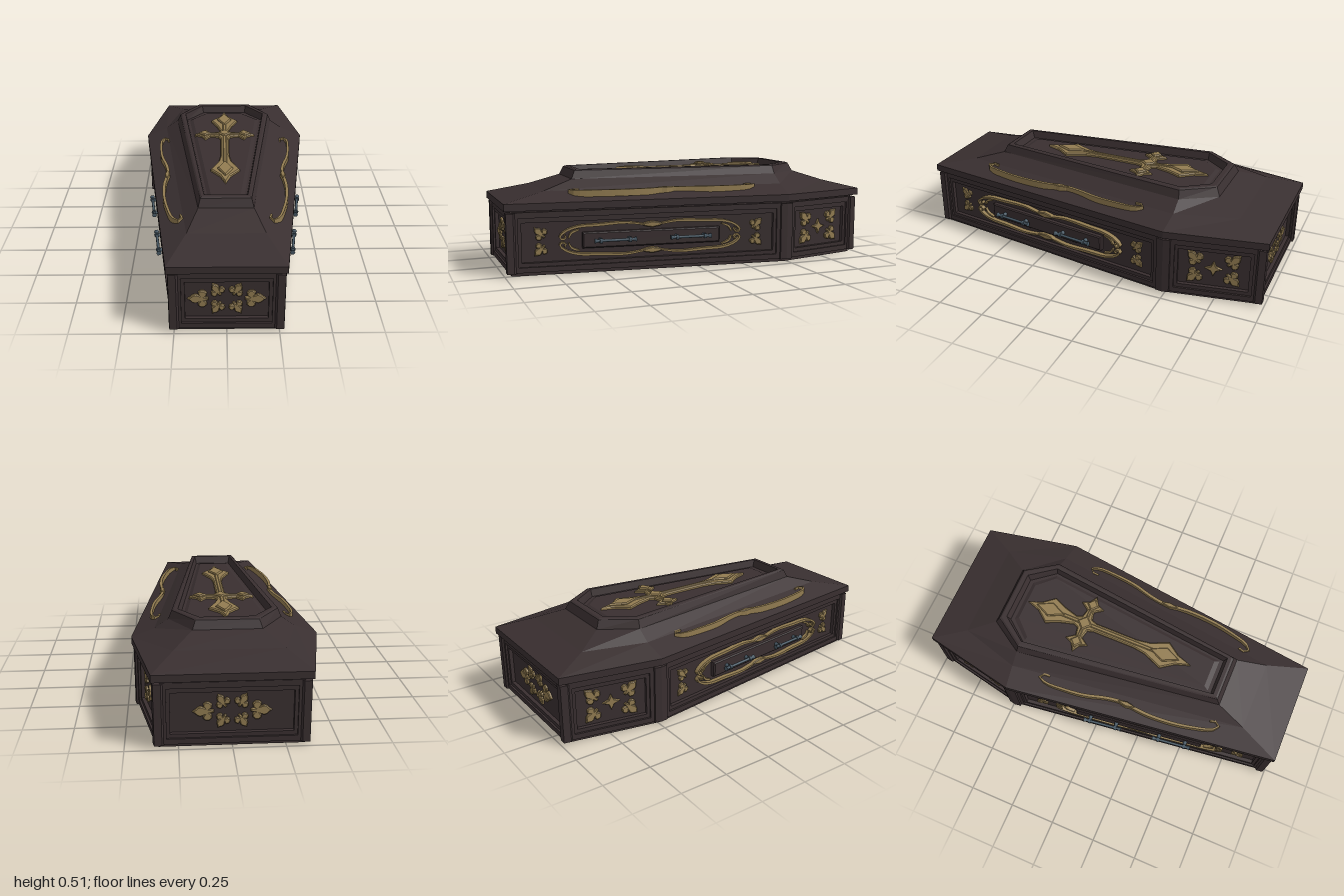
import * as THREE from 'three';

const material = (name, color) => Object.assign(new THREE.MeshStandardMaterial({ color }), { name });

export function createModel() {
  const wood = material('dark wood', 0x392f30);
  const gold = material('old gold', 0x927c51);
  const steel = material('blued steel', 0x485965);
  const root = new THREE.Group();
  root.name = 'coffin';

  const add = (parent, name, geo, mat, x = 0, y = 0, z = 0) => {
    const m = new THREE.Mesh(geo, mat);
    m.name = name;
    m.position.set(x, y, z);
    parent.add(m);
    return m;
  };
  const shapeOf = (pts) => new THREE.Shape(pts.map((p) => new THREE.Vector2(p[0], p[1])));
  const extrude = (shape, depth, bevel = 0) => new THREE.ExtrudeGeometry(shape, {
    depth: depth - bevel, bevelEnabled: bevel > 0, bevelThickness: bevel, bevelSize: bevel,
    bevelOffset: -bevel, bevelSegments: 1, curveSegments: 8,
  });
  // Plan shapes use (x, -z) and are extruded upwards
  const plan = (pts, depth, bevel) => extrude(shapeOf(pts.map(([x, z]) => [x, -z])), depth, bevel).rotateX(-Math.PI / 2);

  // Six-sided plan, with an inset rule
  const ring = (xf, zf, xw, zw, xb, zb) => [[-xf, zf], [xf, zf], [xw, zw], [xb, zb], [-xb, zb], [-xw, zw]];
  const outline = ring(0.28, 1, 0.472, -0.49, 0.37, -1);
  const normal = (a, b) => {
    const l = Math.hypot(b[0] - a[0], b[1] - a[1]);
    return [(a[1] - b[1]) / l, (b[0] - a[0]) / l];
  };
  const inset = (d) => outline.map((v, i) => {
    const p = normal(outline[(i + 5) % 6], v), q = normal(v, outline[(i + 1) % 6]);
    const k = d / (1 + p[0] * q[0] + p[1] * q[1]);
    return [v[0] - k * (p[0] + q[0]), v[1] - k * (p[1] + q[1])];
  });

  // Lofted, faceted solid through stacked rings
  function loft(rings) {
    const pos = [];
    const tri = (...vs) => vs.forEach(([p, y]) => pos.push(p[0], y, p[1]));
    for (let k = 0; k + 1 < rings.length; k++) {
      const [A, ya] = rings[k], [B, yb] = rings[k + 1];
      for (let i = 0; i < 6; i++) {
        const j = (i + 1) % 6;
        tri([A[i], ya], [A[j], ya], [B[j], yb]);
        tri([A[i], ya], [B[j], yb], [B[i], yb]);
      }
    }
    const [A, ya] = rings[0], [B, yb] = rings[rings.length - 1];
    for (let i = 1; i < 5; i++) {
      tri([A[0], ya], [A[i + 1], ya], [A[i], ya]);
      tri([B[0], yb], [B[i], yb], [B[i + 1], yb]);
    }
    const g = new THREE.BufferGeometry();
    g.setAttribute('position', new THREE.Float32BufferAttribute(pos, 3));
    g.computeVertexNormals();
    return g;
  }

  // Tapered ribbon outline along a curve
  function ribbon(pts, width) {
    const curve = new THREE.CatmullRomCurve3(pts.map(([x, y]) => new THREE.Vector3(x, y, 0)));
    const left = [], right = [], n = 36;
    for (let i = 0; i <= n; i++) {
      const p = curve.getPointAt(i / n), t = curve.getTangentAt(i / n);
      const w = width * (0.3 + 0.2 * Math.sin(Math.PI * i / n));
      left.push([p.x - t.y * w, p.y + t.x * w]);
      right.unshift([p.x + t.y * w, p.y - t.x * w]);
    }
    return [...left, ...right];
  }

  // Body
  add(root, 'plinth', plan(inset(0.035), 0.022), wood);
  add(root, 'bodyCore', plan(inset(0.05), 0.3), wood, 0, 0.02);
  add(root, 'neck', plan(inset(0.035), 0.02), wood, 0, 0.318);

  // Lid: rim, slopes, raised frame and sunken panel
  add(root, 'lid', loft([
    [outline, 0.335], [outline, 0.372],
    [ring(0.19, 0.78, 0.355, -0.5, 0.265, -0.82), 0.418],
    [ring(0.137, 0.62, 0.285, -0.5, 0.17, -0.68), 0.467],
    [ring(0.126, 0.6, 0.267, -0.495, 0.155, -0.66), 0.51],
    [ring(0.12, 0.59, 0.255, -0.493, 0.15, -0.65), 0.515],
    [ring(0.108, 0.57, 0.235, -0.49, 0.135, -0.625), 0.515],
    [ring(0.1, 0.555, 0.225, -0.488, 0.128, -0.61), 0.475],
    [ring(0.09, 0.535, 0.21, -0.485, 0.118, -0.59), 0.475],
    [ring(0.075, 0.51, 0.19, -0.48, 0.105, -0.57), 0.485],
  ]), wood);

  // Corner posts
  const outer = inset(0.01), inner = inset(0.052);
  const toward = (a, b, d) => {
    const l = Math.hypot(b[0] - a[0], b[1] - a[1]);
    return [a[0] + (b[0] - a[0]) * d / l, a[1] + (b[1] - a[1]) * d / l];
  };
  for (let i = 0; i < 6; i++) {
    const p = (i + 5) % 6, n = (i + 1) % 6, w = 0.036;
    add(root, 'cornerPost', plan([toward(outer[i], outer[p], w), outer[i], toward(outer[i], outer[n], w),
      toward(inner[i], inner[n], w), inner[i], toward(inner[i], inner[p], w)], 0.306), wood, 0, 0.016);
  }

  // Ornaments for the side panels
  const half = [[0.07, 0], [0.09, 0.22], [0.17, 0.1], [0.33, 0.08], [0.46, 0.22], [0.46, 0.38],
    [0.36, 0.5], [0.24, 0.49], [0.15, 0.4], [0.25, 0.62], [0.2, 0.76], [0.08, 0.88]];
  const fleurPts = [...half, [0, 1], ...half.map(([x, y]) => [-x, y]).reverse()];
  const fleur = (parent, x, y, size, angle) => {
    const g = extrude(shapeOf(fleurPts.map(([a, b]) => [a * size, b * size])), 0.014, 0.004);
    add(parent, 'fleur', g, gold, x, y, -0.041).rotation.z = angle;
  };
  const diamond = (rx, ry, k = 0.3) => [[rx, 0], [rx * k, ry * k], [0, ry], [-rx * k, ry * k],
    [-rx, 0], [-rx * k, -ry * k], [0, -ry], [rx * k, -ry * k]];

  function frame(parent, name, w, y0, y1, hw, h0, h1, front) {
    const s = shapeOf([[-w, y0], [w, y0], [w, y1], [-w, y1]]);
    s.holes.push(new THREE.Path([[-hw, h0], [-hw, h1], [hw, h1], [hw, h0]].map((p) => new THREE.Vector2(...p))));
    add(parent, name, extrude(s, 0.042 + front), wood, 0, 0, -0.042);
  }

  function handle(parent, x) {
    const h = new THREE.Group();
    h.name = 'handle';
    h.position.set(x, 0.17, 0.016);
    parent.add(h);
    add(h, 'bar', new THREE.CylinderGeometry(0.0075, 0.0075, 0.19, 8).rotateZ(Math.PI / 2), steel);
    for (const s of [-1, 1]) {
      add(h, 'post', new THREE.CylinderGeometry(0.009, 0.012, 0.04, 8).rotateX(Math.PI / 2), steel, s * 0.075, 0, -0.018);
      add(h, 'collar', new THREE.CylinderGeometry(0.014, 0.014, 0.014, 6).rotateZ(Math.PI / 2), steel, s * 0.075);
      add(h, 'knob', new THREE.CylinderGeometry(s < 0 ? 0.014 : 0.008, s < 0 ? 0.008 : 0.014, 0.018, 6)
        .rotateZ(Math.PI / 2), steel, s * 0.1);
    }
  }

  const kinds = ['end', 'long', 'short', 'end', 'short', 'long'];
  kinds.forEach((kind, i) => {
    const a = outer[i], b = outer[(i + 1) % 6];
    const L = Math.hypot(b[0] - a[0], b[1] - a[1]) / 2;
    const side = new THREE.Group();
    side.name = kind + 'Panel';
    side.position.set((a[0] + b[0]) / 2, 0, (a[1] + b[1]) / 2);
    side.rotation.y = Math.atan2(a[1] - b[1], b[0] - a[0]);
    root.add(side);
    frame(side, 'outerFrame', L - 0.03, 0.018, 0.325, L - 0.058, 0.045, 0.295, -0.01);
    frame(side, 'innerFrame', L - 0.05, 0.04, 0.3, L - 0.075, 0.065, 0.27, -0.02);

    for (const sx of [-1, 1]) {
      if (kind === 'end') fleur(side, sx * 0.085, 0.17, 0.1, -sx * Math.PI / 2);
      for (const sy of [-1, 1]) {
        const dir = Math.atan2(-sx, sy);
        if (kind === 'end') fleur(side, sx * 0.03, 0.17 + sy * 0.02, 0.075, Math.atan2(-sx * 0.6, sy));
        if (kind === 'short') fleur(side, sx * 0.07, 0.17 + sy * 0.025, 0.09, dir);
        if (kind === 'long') {
          fleur(side, sx * 0.555, 0.17 + sy * 0.02, 0.075, dir);
          const scroll = [[0.05, 0.07], [0.14, 0.082], [0.28, 0.076], [0.39, 0.07], [0.45, 0.05],
            [0.48, 0.022], [0.47, 0.008], [0.45, 0.015], [0.455, 0.03]];
          add(side, 'scroll', extrude(shapeOf(ribbon(scroll.map(([x, y]) => [sx * x, 0.17 + sy * y]), 0.014)), 0.026), gold, 0, 0, -0.042);
          const sprig = [[0.38, 0.055], [0.42, 0.038], [0.435, 0.012]];
          add(side, 'sprig', extrude(shapeOf(ribbon(sprig.map(([x, y]) => [sx * x, 0.17 + sy * y]), 0.011)), 0.018), gold, 0, 0, -0.042);
        }
      }
    }
    if (kind === 'short') add(side, 'star', extrude(shapeOf(diamond(0.045, 0.042)), 0.014, 0.003), gold, 0, 0.17, -0.041);
    if (kind === 'long') {
      for (const sy of [-1, 1]) {
        add(side, 'crest', extrude(shapeOf(diamond(0.06, 0.016, 0.6)), 0.026, 0.004), gold, 0, 0.17 + sy * 0.068, -0.042);
      }
      add(side, 'handlePlate', extrude(shapeOf([[-0.365, 0.128], [0.365, 0.128], [0.365, 0.21], [-0.365, 0.21]]), 0.028, 0.006), wood, 0, 0, -0.042);
      handle(side, -0.2);
      handle(side, 0.2);
    }
  });

  // Scrolls along the lid slopes
  const lidScroll = [[0.33, -0.285], [0.335, -0.325], [0.355, -0.335], [0.372, -0.29], [0.37, -0.2], [0.355, -0.07],
    [0.325, 0.04], [0.312, 0.12], [0.316, 0.19], [0.323, 0.28], [0.315, 0.42], [0.292, 0.54],
    [0.262, 0.635], [0.235, 0.66], [0.217, 0.64], [0.225, 0.605]];
  for (const s of [-1, 1]) {
    add(root, 'lidScroll', plan(ribbon(lidScroll.map(([x, z]) => [s * x, z]), 0.016), 0.035), gold, 0, 0.39);
    add(root, 'lidScrollCrest', plan(diamond(0.014, 0.05, 0.6).map(([x, z]) => [x + s * 0.314, z + 0.16]), 0.037, 0.004), gold, 0, 0.391);
  }

  // Cross: bevelled base with raised lozenges
  const cross = new THREE.Group();
  cross.name = 'cross';
  cross.position.y = 0.48;
  root.add(cross);
  const crossHalf = [[0.024, -0.49], [0.078, -0.425], [0.045, -0.35], [0.024, -0.275], [0.035, -0.25], [0.08, -0.24],
    [0.112, -0.285], [0.13, -0.245], [0.172, -0.22], [0.13, -0.195], [0.112, -0.155], [0.08, -0.2], [0.035, -0.19],
    [0.024, -0.16], [0.024, 0.08], [0.035, 0.15], [0.078, 0.25], [0.028, 0.32]];
  add(cross, 'crossBase', plan([[0, -0.56], ...crossHalf, [0, 0.4], ...crossHalf.map(([x, z]) => [-x, z]).reverse()], 0.02, 0.006), gold);
  add(cross, 'crossRib', plan([[-0.01, -0.4], [0.01, -0.4], [0.01, 0.25], [-0.01, 0.25]], 0.025, 0.004), gold);
  add(cross, 'crossArmRib', plan([[-0.12, -0.228], [0.12, -0.228], [0.12, -0.212], [-0.12, -0.212]], 0.025, 0.004), gold);
  const lozenge = (x, z, rx, rz) => add(cross, 'lozenge',
    plan([[x + rx, z], [x, z - rz], [x - rx, z], [x, z + rz]], 0.03, 0.006), gold);
  lozenge(0, -0.425, 0.042, 0.085);
  lozenge(0, 0.25, 0.042, 0.085);
  lozenge(0, -0.22, 0.042, 0.042);
  for (const s of [-1, 1]) lozenge(s * 0.115, -0.22, 0.035, 0.034);

  return root;
}
